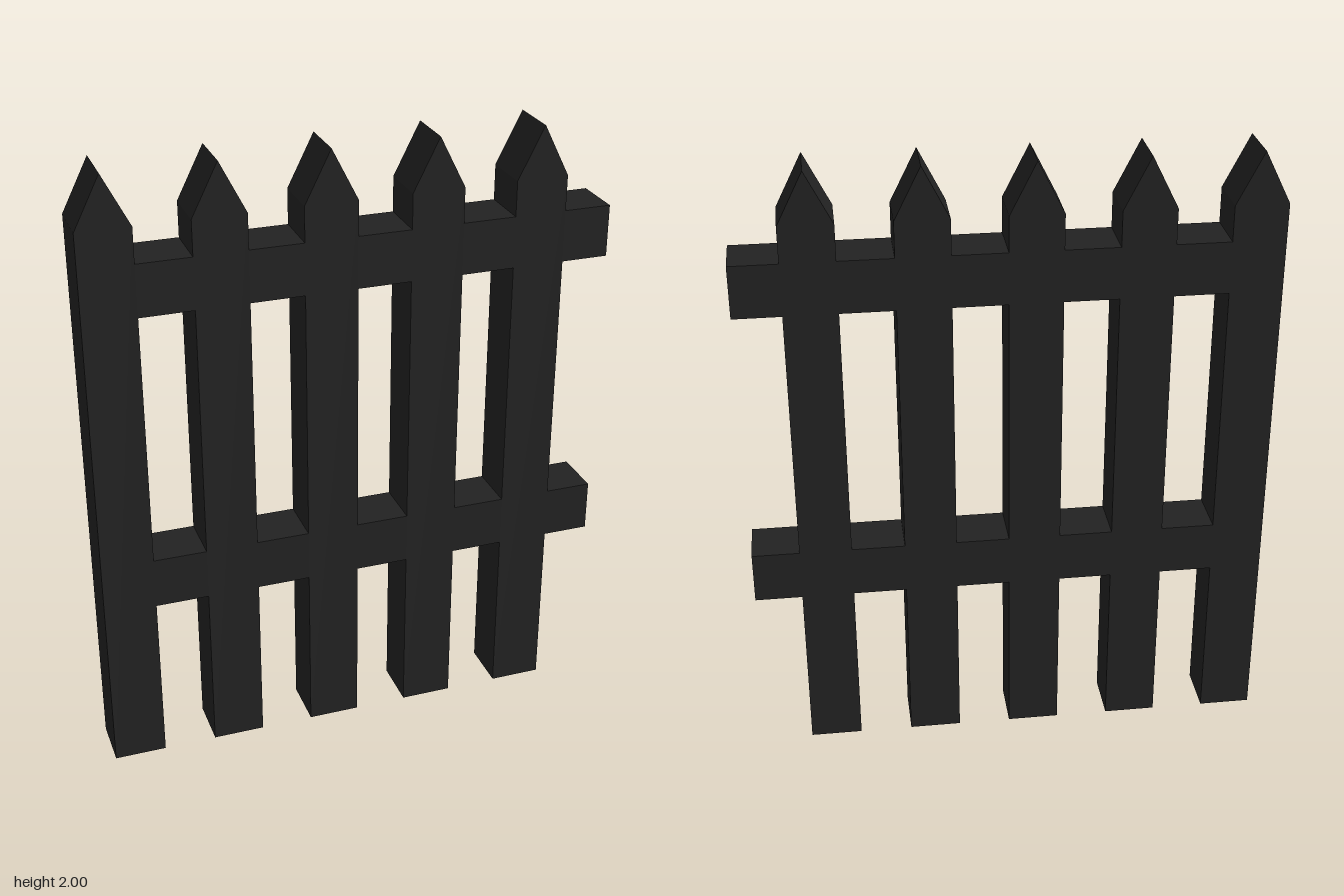
import * as THREE from 'three';

const WIDTH = 0.167, DEPTH = 0.167, PITCH = 0.337, COUNT = 5;
const HALF_LENGTH = 0.833, SHOULDER = 1.835, TOP = 2;
const RAILS = { lowerRail: 0.647, upperRail: 1.638 };

export function createModel() {
  const fence = new THREE.Group();
  fence.name = 'picketFence';
  const material = new THREE.MeshStandardMaterial({ color: 0x222222, flatShading: true });

  // Pointed picket outline, extruded through the fence thickness
  const outline = new THREE.Shape([
    new THREE.Vector2(-WIDTH / 2, 0),
    new THREE.Vector2(WIDTH / 2, 0),
    new THREE.Vector2(WIDTH / 2, SHOULDER),
    new THREE.Vector2(0, TOP),
    new THREE.Vector2(-WIDTH / 2, SHOULDER),
  ]);
  const picketGeometry = new THREE.ExtrudeGeometry(outline, { depth: DEPTH, bevelEnabled: false });
  picketGeometry.translate(0, 0, -DEPTH / 2);

  const rails = Object.keys(RAILS).map((name) => {
    const rail = new THREE.Group();
    rail.name = name;
    rail.position.y = RAILS[name];
    fence.add(rail);
    return rail;
  });

  for (let i = 0; i < COUNT; i++) {
    const x = -HALF_LENGTH + WIDTH / 2 + i * PITCH;
    const picket = new THREE.Mesh(picketGeometry, material);
    picket.name = `picket${i + 1}`;
    picket.position.x = x;
    fence.add(picket);

    // Rails lie flush with the pickets, so each fills the gap to the next one;
    // the last section is the free end
    const start = x + WIDTH / 2;
    const end = i < COUNT - 1 ? x + PITCH - WIDTH / 2 : HALF_LENGTH;
    const sectionGeometry = new THREE.BoxGeometry(end - start, WIDTH, DEPTH);
    for (const rail of rails) {
      const section = new THREE.Mesh(sectionGeometry, material);
      section.name = `${rail.name}Section${i + 1}`;
      section.position.x = (start + end) / 2;
      rail.add(section);
    }
  }
  return fence;
}
